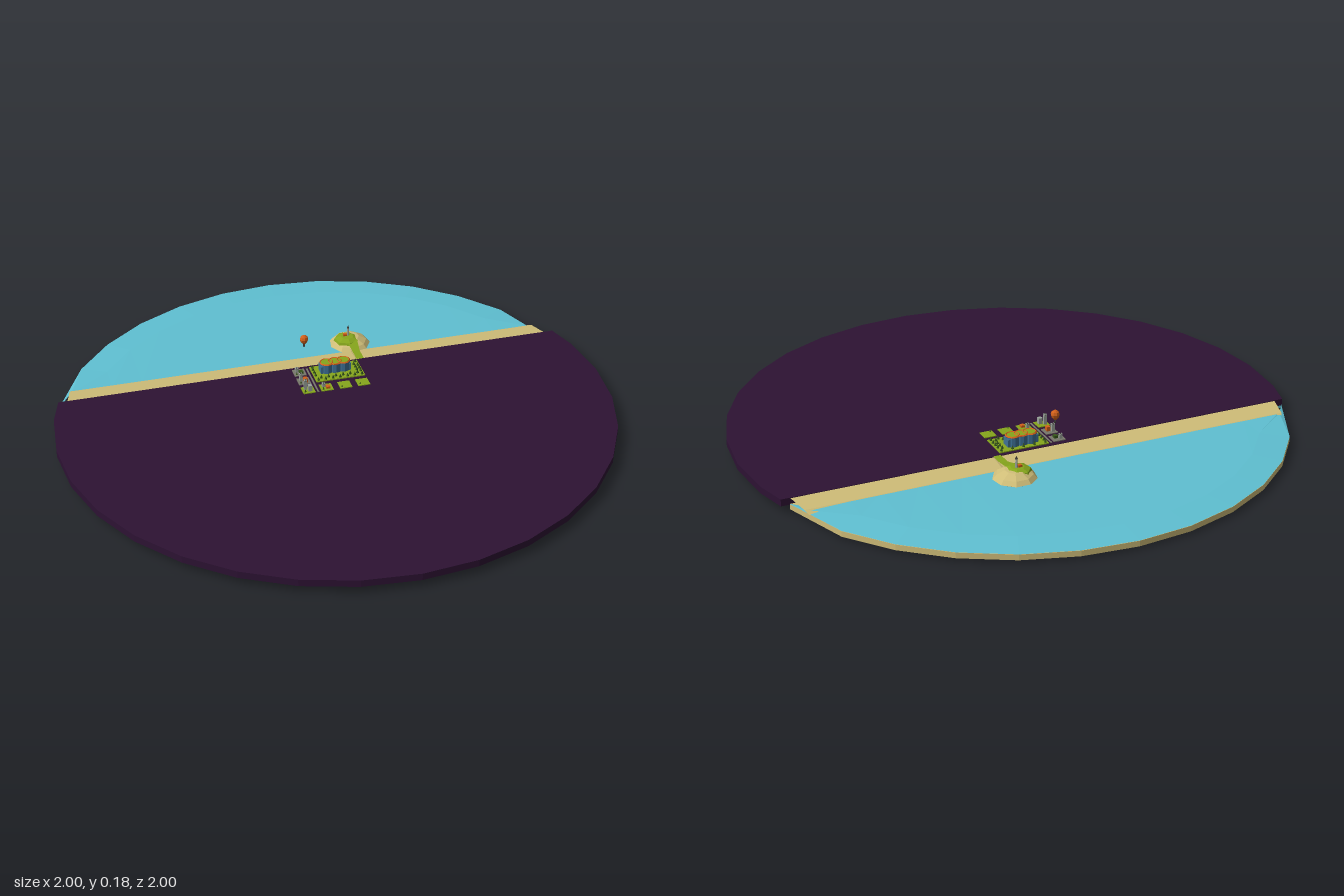
import * as THREE from 'three';

const mat = (color) => new THREE.MeshStandardMaterial({ color, flatShading: true, side: THREE.DoubleSide });
const M = {
  plate: mat(0x2d1233), sand: mat(0xcfbd78), water: mat(0x5fc0d2), green: mat(0x86a61c),
  tree: mat(0x35551a), orange: mat(0xd2601a), blue: mat(0x3f7296), grey: mat(0x9aa39a),
  dark: mat(0x3c3a36), path: mat(0x77776a),
};
const GROUND = 0.052, SHORE = -0.31;

// Point k of the 32-sided outline; positive second coordinate points to the back
const rim = (k, r = 0.995) => [r * Math.cos(k * Math.PI / 16), r * Math.sin(k * Math.PI / 16)];

function add(parent, name, geometry, material, x = 0, y = 0, z = 0) {
  const mesh = new THREE.Mesh(geometry, material);
  mesh.name = name;
  mesh.position.set(x, y, z);
  parent.add(mesh);
  return mesh;
}

// Box standing on height y
const box = (p, name, m, x, y, z, w, h, d) =>
  add(p, name, new THREE.BoxGeometry(w, h, d), m, x, y + h / 2, z);

// Flat slab from an outline
function slab(points, y, h) {
  const shape = new THREE.Shape(points.map(([x, b]) => new THREE.Vector2(x, b)));
  return new THREE.ExtrudeGeometry(shape, { depth: h, bevelEnabled: false })
    .rotateX(-Math.PI / 2).translate(0, y, 0);
}

// Surface through rows of equally many points
function loft(rows) {
  const pos = [];
  for (let i = 0; i + 1 < rows.length; i++) {
    for (let j = 0; j + 1 < rows[i].length; j++) {
      const a = rows[i][j], b = rows[i][j + 1], c = rows[i + 1][j + 1], d = rows[i + 1][j];
      pos.push(...a, ...b, ...c, ...a, ...c, ...d);
    }
  }
  const g = new THREE.BufferGeometry();
  g.setAttribute('position', new THREE.Float32BufferAttribute(pos, 3));
  g.computeVertexNormals();
  return g;
}

const lathe = (pts, sides) => new THREE.LatheGeometry(pts.map(([r, y]) => new THREE.Vector2(r, y)), sides);

function tree(p, x, z, h = 0.014) {
  add(p, 'tree', new THREE.ConeGeometry(h * 0.4, h, 5), M.tree, x, GROUND + 0.004 + h / 2, z);
}

function buildTerrain(root) {
  const land = [];
  for (let k = 15; k <= 33; k++) land.push(rim(k, 1));
  add(root, 'landPlate', slab([[-0.948, 0.31], ...land, [0.948, 0.31]], 0.027, 0.025), M.plate);

  const arc = [];
  for (let k = 3; k <= 13; k++) arc.push(k);
  const backRim = arc.map((k) => rim(k));
  add(root, 'seaBed', slab([[0.918, 0.31], ...backRim, [-0.918, 0.31]], 0.01, 0.02), M.sand);

  // Water: sloping outer band, then the flat surface up to the beach
  const outer = [[0.92, 0.031, SHORE], ...backRim.map(([x, b]) => [x, 0.031, -b]), [-0.945, 0.031, SHORE]];
  const inner = [[0.89, 0.038, -0.385],
    ...arc.map((k) => { const [x, b] = rim(k, 0.89); return [x, 0.038, -b]; }), [-0.89, 0.038, -0.385]];
  const shore = inner.map(([x]) => [x, 0.04, -0.38]);
  add(root, 'waterEdge', loft([outer, inner]), M.water);
  add(root, 'waterSurface', loft([inner, shore]), M.water);
  add(root, 'waterUnderLand', slab([[-0.945, 0.31], [-0.945, 0.275], [0.75, 0.31]], 0.018, 0.009), M.water);

  // Beach sloping from the land down to the water
  const row = (y, z, w) => [[-w, y, z], [w, y, z]];
  add(root, 'beach', loft([row(0.012, SHORE, 0.915), row(0.05, SHORE, 0.915),
    row(0.041, -0.39, 0.895), row(0.03, -0.41, 0.885)]), M.sand);
}

function buildIsland(root) {
  const g = new THREE.Group();
  g.name = 'island';
  g.position.set(0.182, 0, -0.453);
  add(g, 'islandRock', lathe([[0, 0], [0.02, 0.002], [0.045, 0.02], [0.077, 0.04], [0.064, 0.054],
    [0.035, 0.069], [0, 0.072]], 9), M.sand);
  add(g, 'islandLawn', lathe([[0.05, 0.056], [0.046, 0.066], [0.025, 0.074], [0, 0.075]], 7), M.green, -0.012, 0, 0.005);
  add(g, 'causeway', loft([[-0.014, 0.014].map((x) => [x, 0.053, 0.145]),
    [-0.014, 0.014].map((x) => [x, 0.054, 0.09]),
    [-0.02, 0.02].map((x) => [x, 0.068, 0.035])]), M.green);
  box(g, 'causewayBase', M.sand, 0, 0.03, 0.1, 0.028, 0.022, 0.09);
  // Lighthouse
  box(g, 'lighthouseHouse', M.orange, -0.018, 0.072, 0, 0.014, 0.01, 0.012);
  add(g, 'lighthouseTower', new THREE.CylinderGeometry(0.003, 0.005, 0.032, 6), M.grey, -0.006, 0.09, 0);
  add(g, 'lighthouseLamp', new THREE.ConeGeometry(0.005, 0.012, 6), M.dark, -0.006, 0.111, 0);
  root.add(g);
}

function buildPark(root) {
  const g = new THREE.Group();
  g.name = 'park';
  box(g, 'parkLawn', M.green, 0.073, GROUND - 0.004, -0.242, 0.185, 0.008, 0.108);
  // Hall with three round roofs
  for (const x of [0.036, 0.068, 0.1]) {
    add(g, 'hallDrum', new THREE.CylinderGeometry(0.026, 0.026, 0.036, 12), M.blue, x, GROUND + 0.02, -0.255);
    add(g, 'hallRoofRing', new THREE.TorusGeometry(0.023, 0.004, 4, 12).rotateX(Math.PI / 2), M.orange, x, 0.091, -0.255);
    add(g, 'hallRoof', new THREE.CylinderGeometry(0.02, 0.023, 0.004, 12), M.green, x, 0.091, -0.255);
  }
  box(g, 'hallBody', M.blue, 0.068, GROUND, -0.255, 0.115, 0.032, 0.038);
  for (let i = 0; i < 13; i++) {
    tree(g, -0.01 + i * 0.0138, -0.197 - (i % 2) * 0.012);
    if (i % 3 === 0) tree(g, -0.01 + i * 0.0138, -0.287);
  }
  for (const z of [-0.27, -0.25, -0.23]) {
    tree(g, -0.012, z);
    tree(g, 0.145, z);
    tree(g, 0.157, z + 0.01);
  }
  root.add(g);
}

// Small city blocks: x, z, building height (0 for a garden), base and building material
function buildBlocks(root) {
  const blocks = [
    [-0.063, -0.27, 0.02, M.path, M.tree], [-0.063, -0.208, 0.032, M.path, M.orange],
    [-0.063, -0.145, 0.042, M.green, M.grey], [0.005, -0.145, 0.018, M.green, M.orange],
    [0.075, -0.145, 0, M.green], [0.143, -0.145, 0, M.green],
  ];
  for (const [x, z, h, base, material] of blocks) {
    const g = new THREE.Group();
    g.name = 'cityBlock';
    box(g, 'blockBase', base, x, GROUND - 0.003, z, 0.045, 0.006, 0.045);
    if (h) {
      box(g, 'house', material, x + 0.005, GROUND, z + 0.005, 0.014, h * 0.6, 0.016);
      box(g, 'tower', M.grey, x - 0.009, GROUND, z - 0.007, 0.011, h, 0.011);
      add(g, 'towerRoof', new THREE.ConeGeometry(0.008, 0.006, 4), M.dark, x - 0.009, GROUND + h, z - 0.007);
      tree(g, x - 0.014, z + 0.014, 0.01);
    } else {
      tree(g, x - 0.014, z + 0.014, 0.008);
    }
    root.add(g);
  }
  box(root, 'road', M.path, -0.03, GROUND - 0.003, -0.208, 0.006, 0.005, 0.17);
}

function buildBalloon(root) {
  const g = new THREE.Group();
  g.name = 'balloon';
  g.position.set(-0.033, 0, -0.313);
  add(g, 'envelope', lathe([[0.004, 0.148], [0.013, 0.159], [0.016, 0.168], [0.013, 0.178], [0.006, 0.183], [0, 0.184]], 8), M.orange);
  box(g, 'basket', M.dark, 0, 0.137, 0, 0.006, 0.006, 0.006);
  for (const s of [-1, 1]) box(g, 'rope', M.dark, s * 0.003, 0.142, 0, 0.001, 0.008, 0.001);
  root.add(g);
}

export function createModel() {
  const root = new THREE.Group();
  root.name = 'coastalCity';
  buildTerrain(root);
  buildIsland(root);
  buildPark(root);
  buildBlocks(root);
  buildBalloon(root);
  return root;
}
